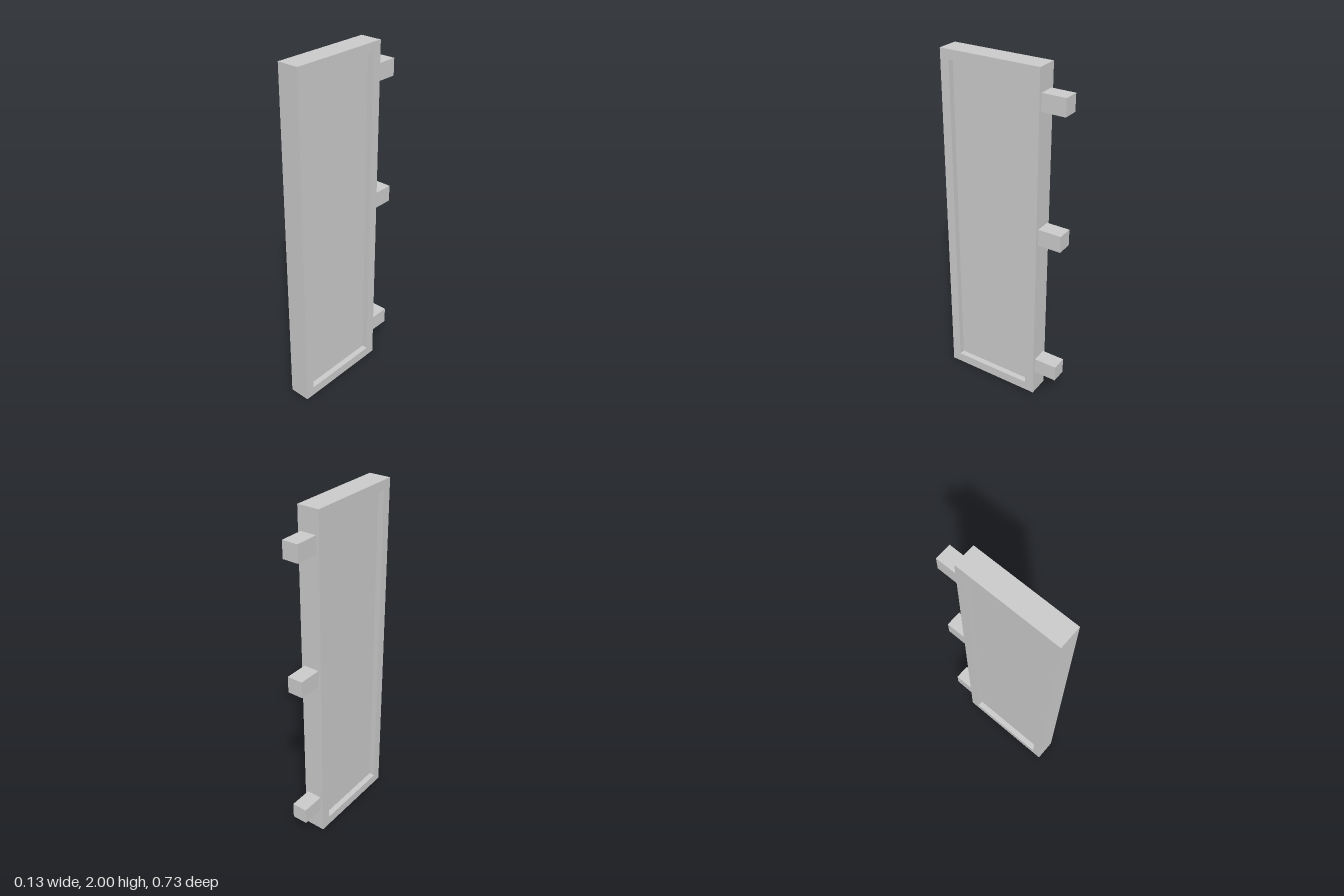
import * as THREE from 'three';

const material = new THREE.MeshStandardMaterial({ color: 0xcccccc, flatShading: true });

// Box spanning the given minimum and maximum corners
function box(name, min, max) {
  const size = max.map((v, i) => v - min[i]);
  const mesh = new THREE.Mesh(new THREE.BoxGeometry(...size), material);
  mesh.name = name;
  mesh.position.set(...max.map((v, i) => (v + min[i]) / 2));
  return mesh;
}

// Rectangle outline, counter-clockwise
function rect(Type, x0, y0, x1, y1) {
  return new Type([[x0, y0], [x1, y0], [x1, y1], [x0, y1]].map(p => new THREE.Vector2(...p)));
}

export function createModel() {
  const group = new THREE.Group();
  group.name = 'door';

  const half = 0.063;                 // half the frame thickness
  const front = 0.364, back = -0.227; // door edges along z

  // Door frame: drawn with x standing for -z, then turned to face sideways
  const outline = rect(THREE.Shape, -front, 0, -back, 2);
  outline.holes.push(rect(THREE.Path, -0.311, 0.057, 0.17, 1.947));
  const frameGeometry = new THREE.ExtrudeGeometry(outline, { depth: half * 2, bevelEnabled: false });
  frameGeometry.translate(0, 0, -half).rotateY(Math.PI / 2);
  const frame = new THREE.Mesh(frameGeometry, material);
  frame.name = 'doorFrame';
  group.add(frame);

  // Panel, recessed on both sides
  group.add(box('doorPanel', [-0.029, 0.057, -0.17], [0.029, 1.947, 0.311]));

  // Hinge blocks along the back edge
  [0.197, 1.073, 1.823].forEach((y, i) => {
    group.add(box(`hinge${i + 1}`, [-0.046, y - 0.048, -0.364], [0.046, y + 0.048, back]));
  });

  return group;
}
